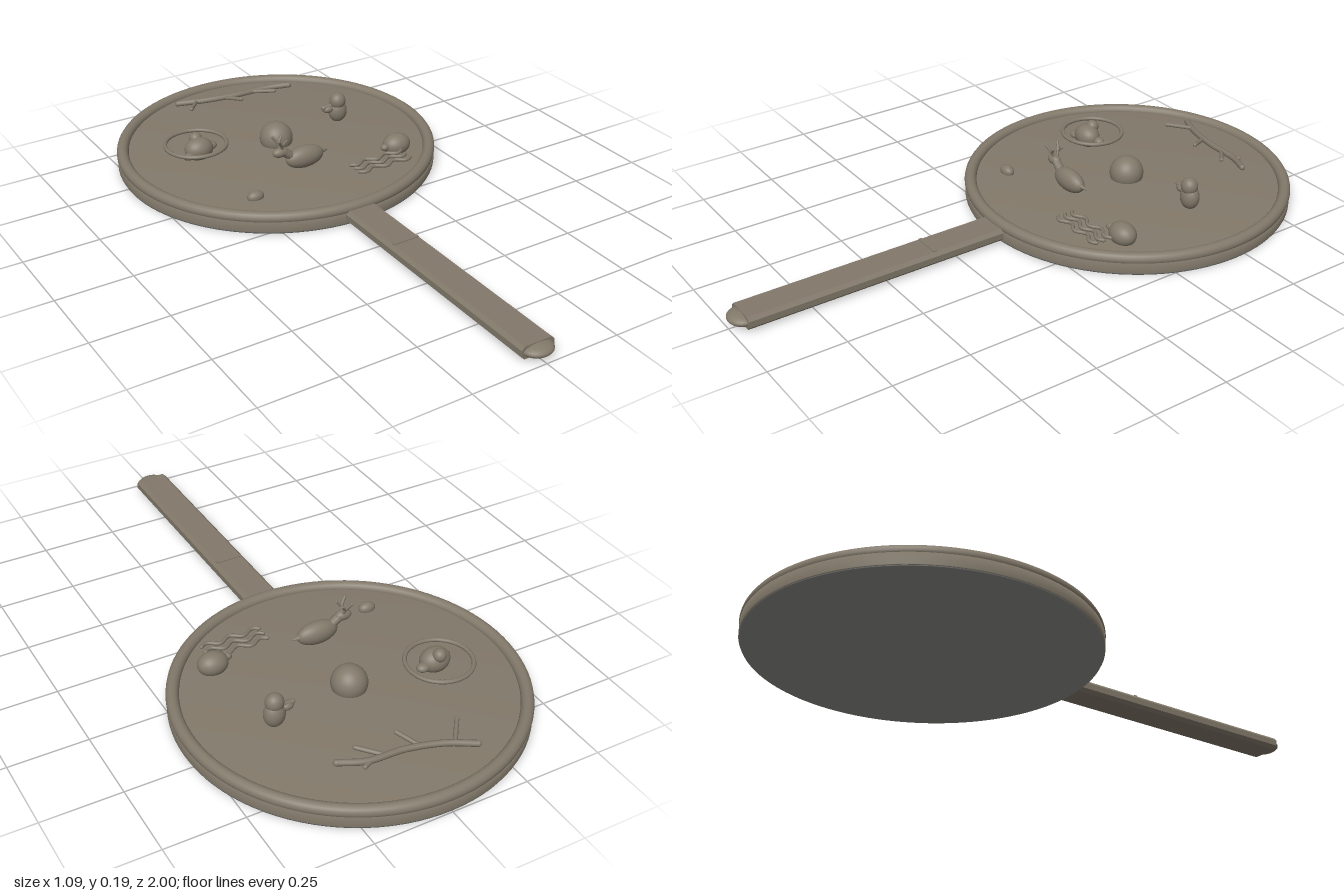
import * as THREE from 'three';

const bronze = new THREE.MeshStandardMaterial({ color: 0x82796a });
bronze.name = 'aged bronze';
const silver = new THREE.MeshStandardMaterial({ color: 0x8a8a88 });
silver.name = 'polished face';

const V = (x, y, z) => new THREE.Vector3(x, y, z);

function add(parent, name, geometry, pos = [0, 0, 0], scale = [1, 1, 1], material = bronze) {
  const mesh = new THREE.Mesh(geometry, material);
  mesh.name = name;
  mesh.position.set(...pos);
  mesh.scale.set(...scale);
  parent.add(mesh);
  return mesh;
}

const ball = new THREE.SphereGeometry(1, 28, 18);
const blob = (parent, name, pos, radii) => add(parent, name, ball, pos, radii);

function tube(parent, name, points, radius, segments = 24) {
  const curve = new THREE.CatmullRomCurve3(points);
  const mesh = add(parent, name, new THREE.TubeGeometry(curve, segments, radius, 8));
  for (const p of [points[0], points[points.length - 1]]) {
    blob(parent, name + 'End', p.toArray(), [radius, radius, radius]);
  }
  return mesh;
}

function group(parent, name) {
  const g = new THREE.Group();
  g.name = name;
  parent.add(g);
  return g;
}

export function createModel() {
  const model = new THREE.Group();
  model.name = 'handMirror';
  const cz = -0.455;

  // Disc: polished face below, softly shaded bronze back above, rounded rim
  const lathe = pts => new THREE.LatheGeometry(pts.map(p => new THREE.Vector2(...p)), 96);
  add(model, 'mirrorFace', lathe([[0, 0], [0.54, 0], [0.54, 0.006]]), [0, 0, cz], [1, 1, 1], silver);
  add(model, 'discBack', lathe([[0.54, 0.004], [0.543, 0.006], [0.543, 0.05], [0, 0.05]]), [0, 0, cz]);
  add(model, 'rim', new THREE.TorusGeometry(0.525, 0.02, 16, 96).rotateX(Math.PI / 2), [0, 0.05, cz]);
  blob(model, 'centreKnob', [0, 0.068, cz], [0.057, 0.057, 0.057]);

  // Handle: bevelled bar with a rounded tip and a thin band
  const handle = group(model, 'handle');
  const section = new THREE.Shape([[-0.057, 0.018], [-0.046, 0.007], [0.046, 0.007], [0.057, 0.018],
    [0.057, 0.038], [0.046, 0.049], [-0.046, 0.049], [-0.057, 0.038]].map(p => new THREE.Vector2(...p)));
  add(handle, 'handleBar', new THREE.ExtrudeGeometry(section, { depth: 0.92, bevelEnabled: false }), [0, 0, 0.04]);
  blob(handle, 'handleTip', [0, 0.028, 0.955], [0.051, 0.019, 0.045]);
  add(handle, 'handleBand', new THREE.BoxGeometry(0.092, 0.006, 0.012), [0, 0.049, 0.33]);

  // Branch with twigs, rising gently toward the middle of the disc
  const branch = group(model, 'branch');
  const at = (x, z) => V(x, 0.072 + (z + 0.88) * 0.17, z);
  tube(branch, 'mainBranch', [at(-0.17, -0.87), at(-0.085, -0.83), at(0.03, -0.802), at(0.15, -0.795), at(0.23, -0.765)], 0.01);
  const twigs = [[-0.115, -0.835, -0.165, -0.77], [-0.015, -0.81, 0.02, -0.74],
    [0.1, -0.79, 0.155, -0.74], [0.13, -0.795, 0.165, -0.81]];
  for (const [x1, z1, x2, z2] of twigs) {
    tube(branch, 'twig', [at(x1, z1), at(x2, z2)], 0.007, 4);
  }

  // Moon ring with a small crouching animal
  const moon = group(model, 'moon');
  add(moon, 'moonRing', new THREE.TorusGeometry(0.104, 0.007, 10, 64).rotateX(Math.PI / 2), [-0.275, 0.09, -0.52]);
  blob(moon, 'crouchingBody', [-0.275, 0.08, -0.498], [0.05, 0.04, 0.04]);
  blob(moon, 'crouchingHead', [-0.275, 0.11, -0.52], [0.022, 0.022, 0.022]);
  blob(moon, 'crouchingFoot', [-0.225, 0.075, -0.51], [0.022, 0.014, 0.018]);
  blob(moon, 'crouchingFoot', [-0.32, 0.07, -0.48], [0.022, 0.012, 0.016]);

  // Bird facing right
  const bird = group(model, 'bird');
  blob(bird, 'birdBody', [0.275, 0.085, -0.495], [0.034, 0.042, 0.03]);
  blob(bird, 'birdHead', [0.273, 0.124, -0.492], [0.029, 0.03, 0.027]);
  tube(bird, 'birdBeak', [V(0.217, 0.108, -0.495), V(0.26, 0.112, -0.495)], 0.009, 4);
  blob(bird, 'birdFoot', [0.235, 0.1, -0.495], [0.022, 0.014, 0.016]);

  // Deer with body, neck, head, forked antlers and a pointed tail
  const deer = group(model, 'deer');
  blob(deer, 'deerBody', [-0.02, 0.098, -0.23], [0.07, 0.038, 0.032]);
  tube(deer, 'deerNeck', [V(-0.06, 0.105, -0.23), V(-0.1, 0.135, -0.232)], 0.015, 6);
  blob(deer, 'deerHead', [-0.11, 0.135, -0.233], [0.028, 0.017, 0.017]);
  add(deer, 'deerTail', new THREE.ConeGeometry(0.012, 0.035, 10).rotateZ(-Math.PI / 2), [0.055, 0.1, -0.23]);
  for (const s of [-1, 1]) {
    const z = d => -0.235 + s * d;
    tube(deer, 'antler', [V(-0.105, 0.145, z(0.006)), V(-0.112, 0.165, z(0.014)), V(-0.126, 0.184, z(0.022))], 0.005, 8);
    tube(deer, 'antlerFork', [V(-0.11, 0.16, z(0.012)), V(-0.095, 0.179, z(0.018))], 0.004, 4);
  }

  // Turtle shell and the waves beside it
  blob(model, 'turtleShell', [0.317, 0.072, -0.185], [0.05, 0.038, 0.04]);
  blob(model, 'turtleHead', [0.265, 0.075, -0.178], [0.015, 0.012, 0.013]);
  const waves = group(model, 'waves');
  for (let i = 0; i < 3; i++) {
    const points = [];
    for (let k = 0; k <= 16; k++) {
      const t = k / 16;
      points.push(V(0.108 + 0.2 * t, 0.066, -0.145 + i * 0.028 + 0.01 * Math.sin(t * Math.PI * 5)));
    }
    tube(waves, 'wave', points, 0.006, 48);
  }

  // Small pebble
  blob(model, 'pebble', [-0.255, 0.056, -0.143], [0.029, 0.02, 0.02]);

  return model;
}
